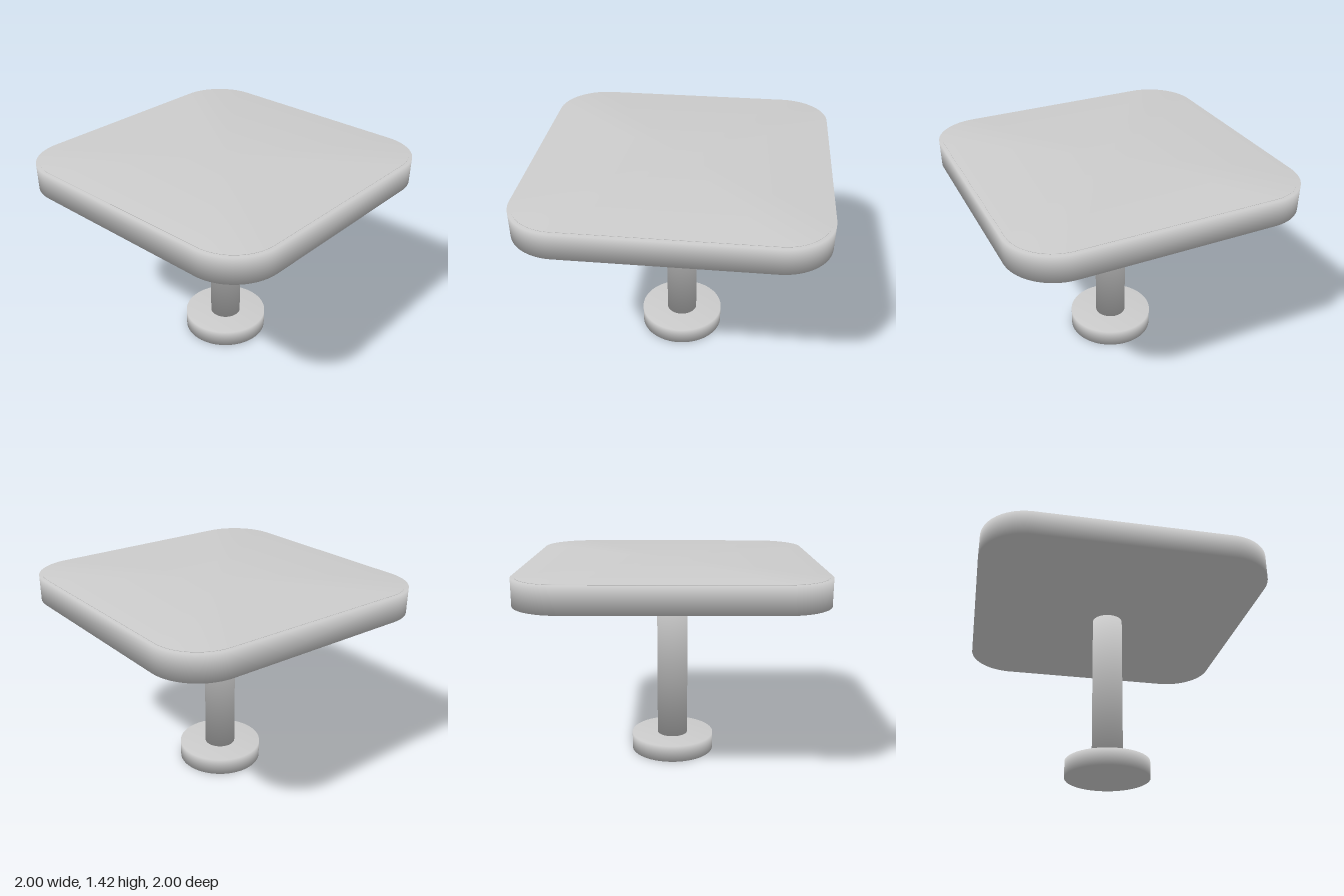
import * as THREE from 'three';

const material = new THREE.MeshStandardMaterial({ color: 0xcccccc });
const TILT = 0.1; // outward share of the rim normals, for soft shading across edges

// Outline of a square with rounded corners; radius === half gives a circle.
function outline(half, radius, steps = 20) {
  const points = [];
  const c = half - radius;
  const last = c > 0 ? steps : steps - 1; // a circle's quarters share their ends
  for (let q = 0; q < 4; q++) {
    const mid = (q + 0.5) * Math.PI / 2;
    for (let i = 0; i <= last; i++) {
      const a = (q + i / steps) * Math.PI / 2;
      const nx = Math.cos(a), nz = Math.sin(a);
      points.push({
        x: Math.sign(Math.cos(mid)) * c + radius * nx,
        z: Math.sign(Math.sin(mid)) * c + radius * nz,
        nx, nz,
      });
    }
  }
  return points;
}

// Upright solid between two heights; the smooth normals lean from up to down.
function slab(name, points, bottom, top, capped = true) {
  const n = points.length;
  const position = [], normal = [], index = [];
  for (const [y, up] of [[top, 1], [bottom, -1]]) {
    for (const p of points) {
      position.push(p.x, y, p.z);
      const v = new THREE.Vector3(p.nx * TILT, up, p.nz * TILT).normalize();
      normal.push(v.x, v.y, v.z);
    }
  }
  position.push(0, top, 0, 0, bottom, 0);
  normal.push(0, 1, 0, 0, -1, 0);
  for (let i = 0; i < n; i++) {
    const j = (i + 1) % n;
    index.push(i, j, n + j, i, n + j, n + i);
    if (capped) index.push(2 * n, j, i, 2 * n + 1, n + i, n + j);
  }
  const geometry = new THREE.BufferGeometry();
  geometry.setAttribute('position', new THREE.Float32BufferAttribute(position, 3));
  geometry.setAttribute('normal', new THREE.Float32BufferAttribute(normal, 3));
  geometry.setIndex(index);
  const mesh = new THREE.Mesh(geometry, material);
  mesh.name = name;
  return mesh;
}

export function createModel() {
  const table = new THREE.Group();
  table.name = 'pedestalTable';

  // Round foot and the column standing on it
  table.add(slab('base', outline(0.3, 0.3), 0, 0.12));
  table.add(slab('post', outline(0.11, 0.11), 0.12, 1.245, false));

  // Rounded square top with a thin inset panel
  table.add(slab('tabletop', outline(1, 0.33), 1.245, 1.422));
  table.add(slab('topPanel', outline(0.975, 0.305), 1.42, 1.425));

  return table;
}
